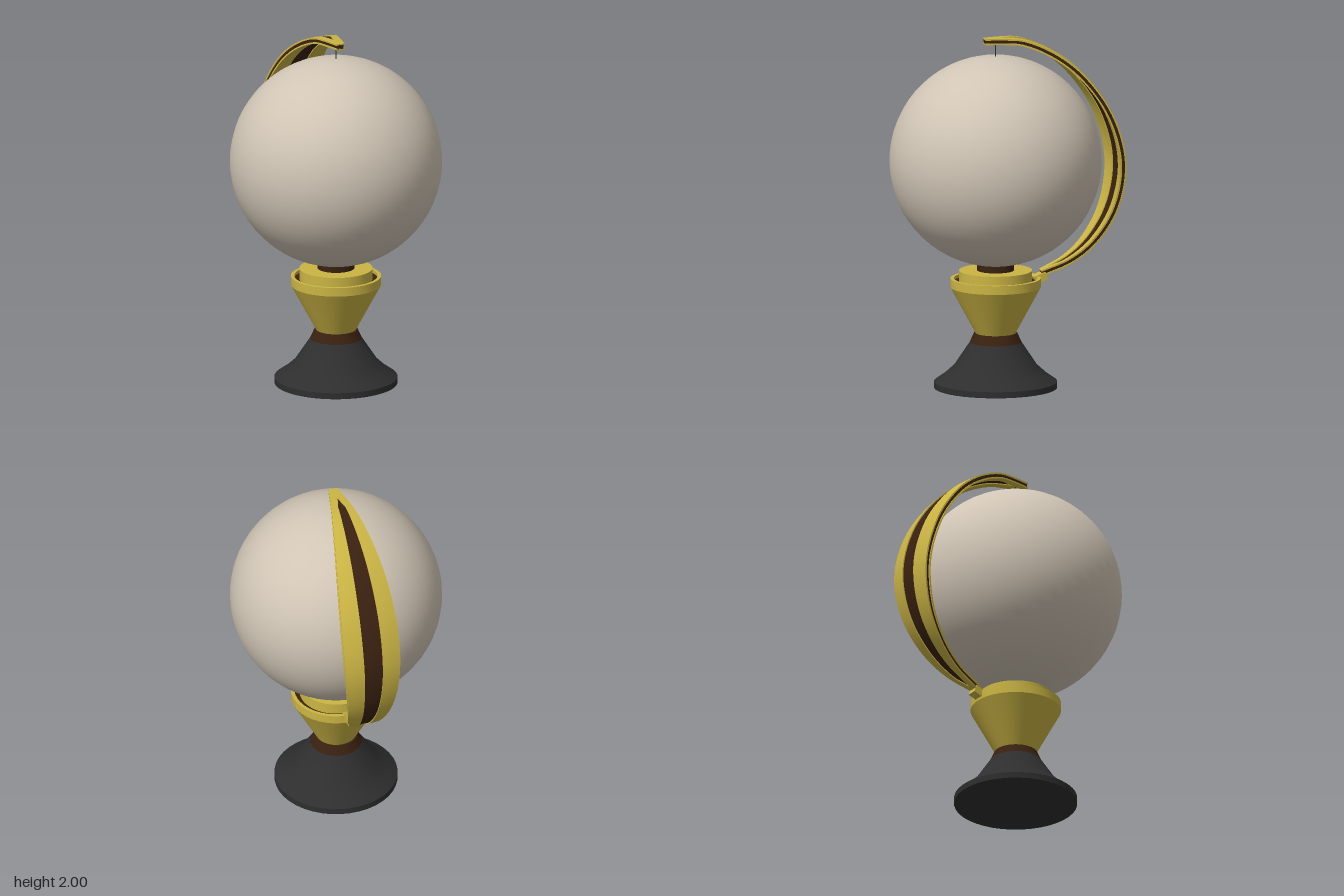
import * as THREE from 'three';
import { toCreasedNormals } from 'three/addons/utils/BufferGeometryUtils.js';

const mat = (name, color) => {
  const m = new THREE.MeshStandardMaterial({ color });
  m.name = name;
  return m;
};

const AXIS_Z = 0.075; // z of the globe's vertical axis
const PIVOT_Z = 0.1; // the arm is swung slightly about this vertical line

// Outer centre line of the arm as [z, y], from the top tip to the foot
const armPath = new THREE.CatmullRomCurve3(
  [
    [0.14, 2.0], [0.03, 2.0], [-0.075, 1.992], [-0.25, 1.92], [-0.42, 1.79], [-0.585, 1.56],
    [-0.665, 1.27], [-0.62, 1.0], [-0.5, 0.805], [-0.365, 0.695], [-0.2, 0.625],
  ].map(([z, y]) => new THREE.Vector3(0, y, z - PIVOT_Z))
);

// Half width of the arm and of its central stripe along the arm
const halfWidth = (t) => 0.025 + 0.138 * Math.sin(Math.PI * t);
const halfStripe = (t) =>
  0.34 * halfWidth(t) * THREE.MathUtils.clamp((t - 0.055) / 0.015, 0, 1) * THREE.MathUtils.clamp((0.97 - t) / 0.02, 0, 1);

// Curved slab following the arm between x = left(t) and right(t), from depth d0 to d1
function armSlab(left, right, d0, d1, steps = 48, cols = 5) {
  const pos = [], idx = [], n = cols * 2;
  for (let i = 0; i <= steps; i++) {
    const t = i / steps;
    const p = armPath.getPointAt(t), tan = armPath.getTangentAt(t);
    for (let j = 0; j < n; j++) {
      const top = j < cols;
      const k = (top ? j : n - 1 - j) / (cols - 1);
      const x = THREE.MathUtils.lerp(left(t), right(t), k);
      const depth = (top ? d0 : d1) + 0.018 * (x / 0.163) ** 2;
      pos.push(x, p.y + tan.z * depth, p.z - tan.y * depth);
    }
  }
  for (let i = 0; i < steps; i++) {
    for (let j = 0; j < n; j++) {
      const a = i * n + j, b = i * n + ((j + 1) % n);
      idx.push(a, b, a + n, b, b + n, a + n);
    }
  }
  // End caps
  const e = steps * n;
  for (let j = 0; j < cols - 1; j++) {
    const [a, b, c, d] = [j, j + 1, n - 2 - j, n - 1 - j];
    idx.push(a, c, b, a, d, c, e + a, e + b, e + c, e + a, e + c, e + d);
  }
  const g = new THREE.BufferGeometry();
  g.setAttribute('position', new THREE.Float32BufferAttribute(pos, 3));
  g.setIndex(idx);
  return toCreasedNormals(g, 0.6);
}

export function createModel() {
  const gold = mat('gold', 0xcbb544);
  const brown = mat('dark brown', 0x3a2110);
  const black = mat('black', 0x2e2e2e);
  const cream = mat('cream', 0xd0c5b5);

  const model = new THREE.Group();
  model.name = 'globeOnStand';

  const add = (parent, name, geometry, material, x = 0, y = 0, z = 0) => {
    const mesh = new THREE.Mesh(geometry, material);
    mesh.name = name;
    mesh.position.set(x, y, z);
    parent.add(mesh);
    return mesh;
  };
  const turned = (name, profile, material) => {
    const pts = profile.map(([r, y]) => new THREE.Vector2(r, y));
    return add(model, name, toCreasedNormals(new THREE.LatheGeometry(pts, 40), 0.4), material, 0, 0, AXIS_Z);
  };

  // Stand, from the floor up
  turned('base', [[0, 0], [0.347, 0], [0.347, 0.035], [0.29, 0.075], [0.235, 0.125], [0.145, 0.26], [0, 0.26]], black);
  turned('collar', [[0, 0.258], [0.146, 0.258], [0.122, 0.312], [0, 0.312]], brown);
  turned('cup', [[0, 0.31], [0.112, 0.31], [0.255, 0.575], [0.255, 0.625], [0.235, 0.625], [0.235, 0.59], [0, 0.59]], gold);
  turned('cupGroove', [[0.2, 0.6], [0.236, 0.6], [0.236, 0.606], [0.2, 0.606]], brown);
  turned('cupRing', [[0, 0.59], [0.206, 0.59], [0.206, 0.67], [0, 0.67]], gold);
  turned('neck', [[0.104, 0.66], [0.104, 0.73]], brown);

  // Globe and the pin that holds it at the top
  add(model, 'globe', new THREE.SphereGeometry(0.598, 48, 32), cream, 0, 1.297, AXIS_Z);
  add(model, 'pin', new THREE.CylinderGeometry(0.003, 0.003, 0.1, 8), black, 0, 1.93, AXIS_Z);

  // Arm: a brown core between gold plates that leave the middle stripe open
  const arm = new THREE.Group();
  arm.name = 'arm';
  arm.position.z = PIVOT_Z;
  arm.rotation.y = 0.06;
  model.add(arm);
  add(arm, 'armCore', armSlab((t) => 0.006 - halfWidth(t), (t) => halfWidth(t) - 0.006, 0.006, 0.029), brown);
  for (const [face, d0, d1] of [['Outer', 0, 0.009], ['Inner', 0.026, 0.035]]) {
    add(arm, `arm${face}RightPlate`, armSlab((t) => -halfWidth(t), (t) => -halfStripe(t), d0, d1), gold);
    add(arm, `arm${face}LeftPlate`, armSlab(halfStripe, halfWidth, d0, d1), gold);
  }

  // Bracket joining the arm to the cup
  const bracket = add(arm, 'armBracket', new THREE.BoxGeometry(0.06, 0.045, 0.075), gold, 0, 0.615, -0.185 - PIVOT_Z);
  bracket.rotation.x = 0.35;

  return model;
}
